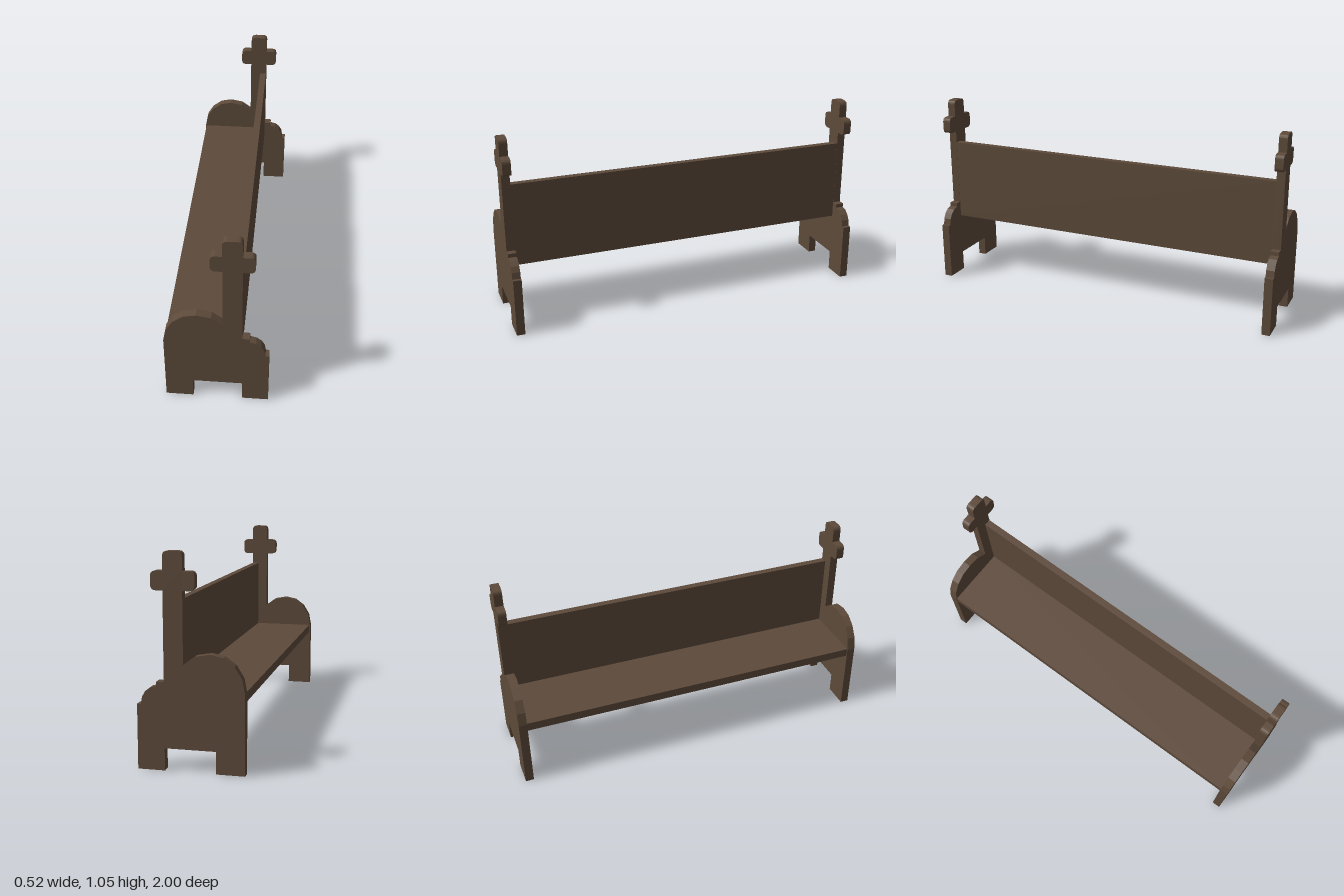
import * as THREE from 'three';

const THICK = 0.045; // end panel thickness

// Outline of an end panel: legs, arched armrest, cross finial, stepped back
function panelShape() {
  const s = new THREE.Shape();
  const line = (...pts) => pts.forEach(([x, y]) => s.lineTo(x, y));
  const r = 0.026;
  // rounded corner at (x, y), entered along (ax, ay) and left along (bx, by)
  const corner = (x, y, ax, ay, bx, by) => {
    s.lineTo(x - ax * r, y - ay * r);
    s.quadraticCurveTo(x, y, x + bx * r, y + by * r);
  };
  s.moveTo(-0.263, 0);
  // feet and the gap between them
  line([-0.123, 0], [-0.123, 0.11], [0.128, 0.11], [0.128, 0], [0.262, 0]);
  // stepped curve behind the backrest
  line([0.262, 0.32], [0.243, 0.32], [0.237, 0.355], [0.221, 0.383],
    [0.196, 0.403], [0.165, 0.411], [0.165, 0.432], [0.128, 0.432]);
  // cross finial
  line([0.128, 0.864]);
  corner(0.187, 0.864, 1, 0, 0, 1);
  corner(0.187, 0.955, 0, 1, -1, 0);
  line([0.128, 0.955]);
  corner(0.128, 1.047, 0, 1, -1, 0);
  corner(0.033, 1.047, -1, 0, 0, -1);
  line([0.033, 0.955]);
  corner(-0.025, 0.955, -1, 0, 0, -1);
  corner(-0.025, 0.864, 0, -1, 1, 0);
  line([0.033, 0.864]);
  // arched armrest
  line([0.033, 0.518], [-0.024, 0.56], [-0.097, 0.573], [-0.16, 0.56],
    [-0.213, 0.521], [-0.25, 0.461], [-0.263, 0.39]);
  s.closePath();
  return s;
}

export function createModel() {
  const bench = new THREE.Group();
  bench.name = 'bench';
  const wood = new THREE.MeshStandardMaterial({ color: 0x5d4a3a });
  wood.name = 'dark wood';

  const add = (name, geometry, x, y, z) => {
    const mesh = new THREE.Mesh(geometry, wood);
    mesh.name = name;
    mesh.position.set(x, y, z);
    bench.add(mesh);
  };

  // End panels
  const panel = new THREE.ExtrudeGeometry(panelShape(), {
    depth: THICK, bevelEnabled: false, curveSegments: 5,
  });
  add('frontEndPanel', panel, 0, 0, 1 - THICK);
  add('backEndPanel', panel, 0, 0, -1);

  // Boards spanning between the panels
  const board = (name, x0, x1, y0, y1) => add(name,
    new THREE.BoxGeometry(x1 - x0, y1 - y0, 2 - 2 * THICK),
    (x0 + x1) / 2, (y0 + y1) / 2, 0);
  board('seat', -0.258, 0.09, 0.345, 0.392);
  board('backrest', 0.09, 0.127, 0.345, 0.8);

  return bench;
}
